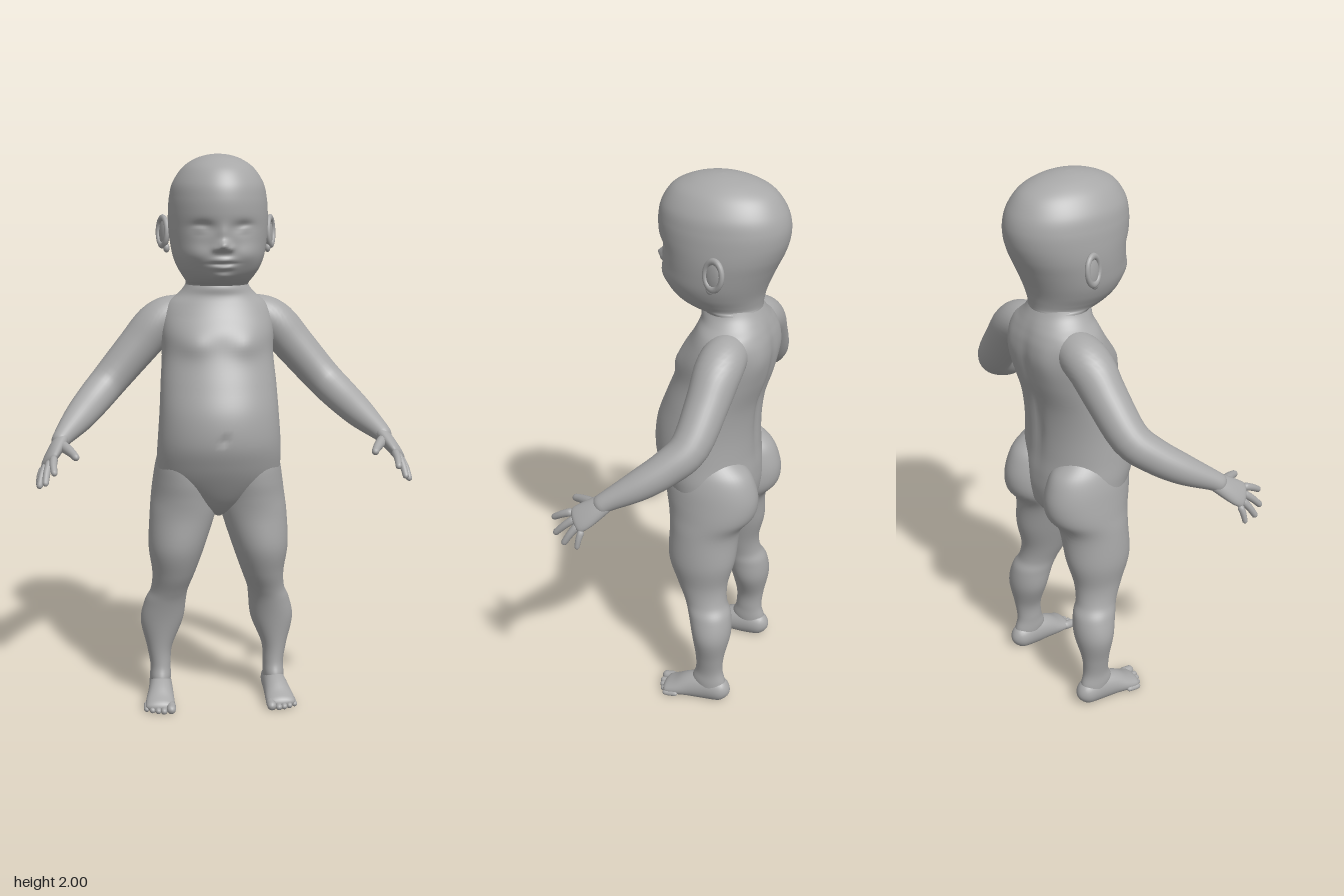
import * as THREE from 'three';

const skin = new THREE.MeshStandardMaterial({ color: 0xa8a8a8 });
skin.name = 'clay grey';

// Catmull-Rom through rows of numbers, t from 0 to 1
function sample(rows, t) {
  const n = rows.length - 1, f = Math.min(t * n, n - 1e-6), i = Math.floor(f), u = f - i;
  const at = k => rows[Math.max(0, Math.min(n, k))];
  const [a, b, c, d] = [at(i - 1), at(i), at(i + 1), at(i + 2)];
  return b.map((_, k) => b[k] + 0.5 * u * (c[k] - a[k]
    + u * (2 * a[k] - 5 * b[k] + 4 * c[k] - d[k] + u * (3 * (b[k] - c[k]) + d[k] - a[k]))));
}

// Closed skin over a list of rings
function skinRings(rings) {
  const m = rings[0].length, pos = [], idx = [];
  rings.forEach(r => r.forEach(p => pos.push(p.x, p.y, p.z)));
  for (let i = 0; i < rings.length - 1; i++) for (let j = 0; j < m; j++) {
    const k = (j + 1) % m, a = i * m + j, b = a + m, c = i * m + k, d = c + m;
    idx.push(a, b, c, b, d, c);
  }
  const g = new THREE.BufferGeometry();
  g.setAttribute('position', new THREE.Float32BufferAttribute(pos, 3));
  g.setIndex(idx);
  g.computeVertexNormals();
  return g;
}

// Horizontal ovals: rows of [y, xMin, xMax, zBack, zFront]
function body(rows, steps, sides, sculpt) {
  const rings = [];
  for (let i = 0; i <= steps; i++) {
    const [y, x0, x1, z0, z1] = sample(rows, i / steps), ring = [];
    for (let j = 0; j < sides; j++) {
      const a = j / sides * Math.PI * 2;
      const p = new THREE.Vector3((x0 + x1) / 2 + Math.cos(a) * (x1 - x0) / 2, y,
        (z0 + z1) / 2 + Math.sin(a) * (z1 - z0) / 2);
      if (sculpt) sculpt(p, Math.sin(a));
      ring.push(p);
    }
    rings.push(ring);
  }
  return skinRings(rings);
}

// Round-ended limb: rows of [x, y, z, radius across, radius through]
function limb(rows, across, steps = 16, sides = 16, floor = -1) {
  const rings = [], first = rows[0], last = rows[rows.length - 1];
  const vec = r => new THREE.Vector3(r[0], r[1], r[2]);
  const round = d => Math.sqrt(1 - (1 - Math.min(1, d)) ** 2);
  for (let i = 0; i <= steps; i++) {
    const t = (1 - Math.cos(Math.PI * i / steps)) / 2, r = sample(rows, t), c = vec(r);
    const dir = vec(sample(rows, Math.min(1, t + 0.01))).sub(vec(sample(rows, Math.max(0, t - 0.01)))).normalize();
    const u = across.clone().addScaledVector(dir, -across.dot(dir)).normalize();
    const v = u.clone().cross(dir);
    const f = round(c.distanceTo(vec(first)) / first[4]) * round(c.distanceTo(vec(last)) / last[4]);
    const ring = [];
    for (let j = 0; j < sides; j++) {
      const a = j / sides * Math.PI * 2;
      const p = c.clone().addScaledVector(u, Math.cos(a) * r[3] * f).addScaledVector(v, Math.sin(a) * r[4] * f);
      p.y = Math.max(floor, p.y);
      ring.push(p);
    }
    rings.push(ring);
  }
  return skinRings(rings);
}

function mirror(geo) {
  const g = geo.clone().scale(-1, 1, 1), ix = g.index.array;
  for (let i = 0; i < ix.length; i += 3) [ix[i], ix[i + 1]] = [ix[i + 1], ix[i]];
  return g;
}

// Soft bump, the same on both sides
const bump = (p, x, y, sx, sy, h) =>
  h * Math.exp(-(((Math.abs(p.x) - x) / sx) ** 2) - ((p.y - y) / sy) ** 2);

const centred = rows => rows.map(([y, w, b, f]) => [y, -w, w, b, f]);

export function createModel() {
  const model = new THREE.Group();
  model.name = 'infantFigure';
  const add = (name, geo, parent = model) => {
    const m = new THREE.Mesh(geo, skin);
    m.name = name;
    parent.add(m);
  };
  const pair = (name, geo) => {
    add('left' + name, geo);
    add('right' + name, mirror(geo));
  };

  // Torso with chest, navel and spine groove
  add('torso', body(centred([
    [0.71, 0.01, -0.09, -0.04], [0.74, 0.08, -0.16, 0.01], [0.78, 0.15, -0.2, 0.05], [0.85, 0.212, -0.215, 0.095],
    [0.92, 0.223, -0.215, 0.13], [1.0, 0.22, -0.208, 0.155], [1.1, 0.213, -0.208, 0.15], [1.2, 0.207, -0.22, 0.115],
    [1.3, 0.2, -0.25, 0.076], [1.38, 0.203, -0.262, 0.055], [1.44, 0.198, -0.258, 0.02], [1.48, 0.178, -0.247, 0],
    [1.51, 0.14, -0.235, -0.01], [1.54, 0.115, -0.22, -0.01], [1.58, 0.1, -0.2, -0.03],
  ]), 90, 80, (p, s) => {
    if (s > 0) p.z += s * (bump(p, 0.1, 1.34, 0.055, 0.04, 0.016) + bump(p, 0, 1.02, 0.012, 0.012, -0.014));
    else p.z -= s * (bump(p, 0, 1.22, 0.025, 0.2, 0.014) - bump(p, 0.11, 1.4, 0.05, 0.08, 0.012));
  }));

  // Head with sculpted face
  add('head', body(centred([
    [1.5, 0.1, -0.21, -0.04], [1.545, 0.112, -0.214, -0.01], [1.56, 0.115, -0.215, 0.05], [1.58, 0.128, -0.218, 0.085],
    [1.61, 0.146, -0.225, 0.108], [1.65, 0.161, -0.24, 0.122], [1.7, 0.17, -0.262, 0.127], [1.75, 0.175, -0.285, 0.133],
    [1.8, 0.175, -0.3, 0.142], [1.85, 0.171, -0.302, 0.143], [1.9, 0.159, -0.286, 0.131], [1.95, 0.126, -0.248, 0.096],
    [1.98, 0.085, -0.19, 0.04], [1.995, 0.042, -0.125, -0.02], [2.0, 0, -0.07, -0.07],
  ]), 130, 120, (p, s) => {
    if (s <= 0) return;
    p.z += Math.sqrt(s) * (
      bump(p, 0, 1.69, 0.02, 0.018, 0.032) + bump(p, 0, 1.73, 0.018, 0.03, 0.008)      // nose
      + bump(p, 0.024, 1.68, 0.012, 0.011, 0.012)                                       // nostrils
      + bump(p, 0.072, 1.752, 0.035, 0.02, -0.018) + bump(p, 0.076, 1.745, 0.024, 0.011, 0.014) // eyes
      + bump(p, 0.076, 1.742, 0.024, 0.003, -0.006)                                     // eyelid line
      + bump(p, 0.09, 1.66, 0.04, 0.035, 0.012)                                         // cheeks
      + bump(p, 0, 1.642, 0.034, 0.01, 0.015) + bump(p, 0, 1.616, 0.03, 0.009, 0.017)   // lips
      + bump(p, 0, 1.629, 0.042, 0.004, -0.007)                                         // mouth line
      + bump(p, 0, 1.585, 0.03, 0.015, 0.012));                                         // chin
  }));

  // Ears: dished shell with a raised rim
  const place = g => g.rotateY(-0.38).rotateX(-0.15).translate(0.186, 1.725, -0.115);
  pair('EarShell', place(new THREE.SphereGeometry(1, 20, 14).scale(0.012, 0.052, 0.036)));
  pair('EarRim', place(new THREE.TorusGeometry(0.036, 0.009, 10, 28).rotateY(Math.PI / 2)
    .scale(1, 1.35, 1).translate(0.006, 0.005, -0.003)));
  pair('EarLobe', new THREE.SphereGeometry(0.014, 14, 10).scale(0.8, 1.2, 1).translate(0.18, 1.673, -0.1));

  // Legs, whose rounded tops form the buttocks and hips
  pair('Leg', body([
    [1.0, 0.05, 0.19, -0.17, 0.05], [0.96, 0.025, 0.21, -0.22, 0.07], [0.91, 0.012, 0.225, -0.245, 0.082],
    [0.85, 0.004, 0.235, -0.256, 0.08], [0.79, 0.002, 0.243, -0.244, 0.07], [0.72, 0.012, 0.25, -0.196, 0.062],
    [0.6, 0.05, 0.255, -0.186, 0.06], [0.5, 0.085, 0.242, -0.163, 0.025], [0.43, 0.11, 0.247, -0.166, -0.01],
    [0.38, 0.117, 0.268, -0.187, -0.03], [0.3, 0.128, 0.284, -0.192, -0.05], [0.2, 0.168, 0.262, -0.172, -0.065],
    [0.13, 0.174, 0.25, -0.166, -0.064], [0.08, 0.174, 0.252, -0.178, -0.05], [0.03, 0.18, 0.25, -0.18, -0.08],
  ].reverse(), 80, 48));

  // Feet and toes
  const X = new THREE.Vector3(1, 0, 0);
  pair('Foot', limb([
    [0.212, 0.04, -0.196, 0.034, 0.036], [0.212, 0.045, -0.15, 0.041, 0.05], [0.213, 0.045, -0.1, 0.043, 0.056],
    [0.216, 0.038, -0.045, 0.047, 0.05], [0.221, 0.024, 0.01, 0.053, 0.033], [0.223, 0.016, 0.06, 0.052, 0.018],
  ], X, 30, 28, 0));
  for (let i = 0; i < 5; i++) {
    const r = i ? 0.0125 - i * 0.0006 : 0.017, x = i ? 0.19 + i * 0.0205 : 0.184, z = 0.072 - i * i * 0.0022;
    pair('Toe' + (i + 1), limb([[x - 0.002, r + 0.006, z - 0.045, r, r], [x, r, z - 0.01, r, r], [x, r, z + 0.014, r, r]], X, 12, 12, 0));
  }

  // Arms
  pair('Arm', limb([
    [0.07, 1.435, -0.145, 0.06, 0.06], [0.15, 1.428, -0.145, 0.076, 0.076], [0.215, 1.398, -0.142, 0.08, 0.078],
    [0.285, 1.32, -0.135, 0.073, 0.073], [0.385, 1.205, -0.115, 0.066, 0.066], [0.443, 1.145, -0.06, 0.06, 0.062],
    [0.5, 1.09, 0.02, 0.052, 0.053], [0.555, 1.04, 0.11, 0.035, 0.034], [0.575, 1.015, 0.145, 0.032, 0.026],
  ], new THREE.Vector3(0.52, -0.56, -0.65), 50, 32));

  // Hands: palm, four fingers and a thumb
  const W = new THREE.Vector3(0.52, -0.56, -0.65);
  pair('Palm', limb([
    [0.548, 1.047, 0.1, 0.03, 0.026], [0.575, 1.012, 0.145, 0.04, 0.024], [0.596, 0.982, 0.185, 0.046, 0.02],
    [0.606, 0.965, 0.212, 0.043, 0.015],
  ], W, 20, 24));
  const knuckle = new THREE.Vector3(0.603, 0.97, 0.197);
  const tips = [[0.583, 0.945, 0.3], [0.615, 0.905, 0.28], [0.637, 0.887, 0.238], [0.642, 0.885, 0.185]];
  tips.forEach((t, i) => {
    const k = knuckle.clone().addScaledVector(W, -0.035 + i * 0.0235), r = i === 3 ? 0.0105 : 0.0125;
    const mid = k.clone().lerp(new THREE.Vector3(...t), 0.5);
    pair('Finger' + (i + 1), limb([[...k.toArray(), r + 0.002, r + 0.002],
      [mid.x + 0.003, mid.y + 0.004, mid.z, r, r], [...t, r - 0.002, r - 0.002]], W, 14, 12));
  });
  pair('Thumb', limb([[0.565, 1.02, 0.14, 0.02, 0.02], [0.54, 1.01, 0.185, 0.018, 0.017],
    [0.52, 1.0, 0.225, 0.014, 0.014], [0.508, 0.99, 0.256, 0.012, 0.012]], W, 16, 14));

  return model;
}
